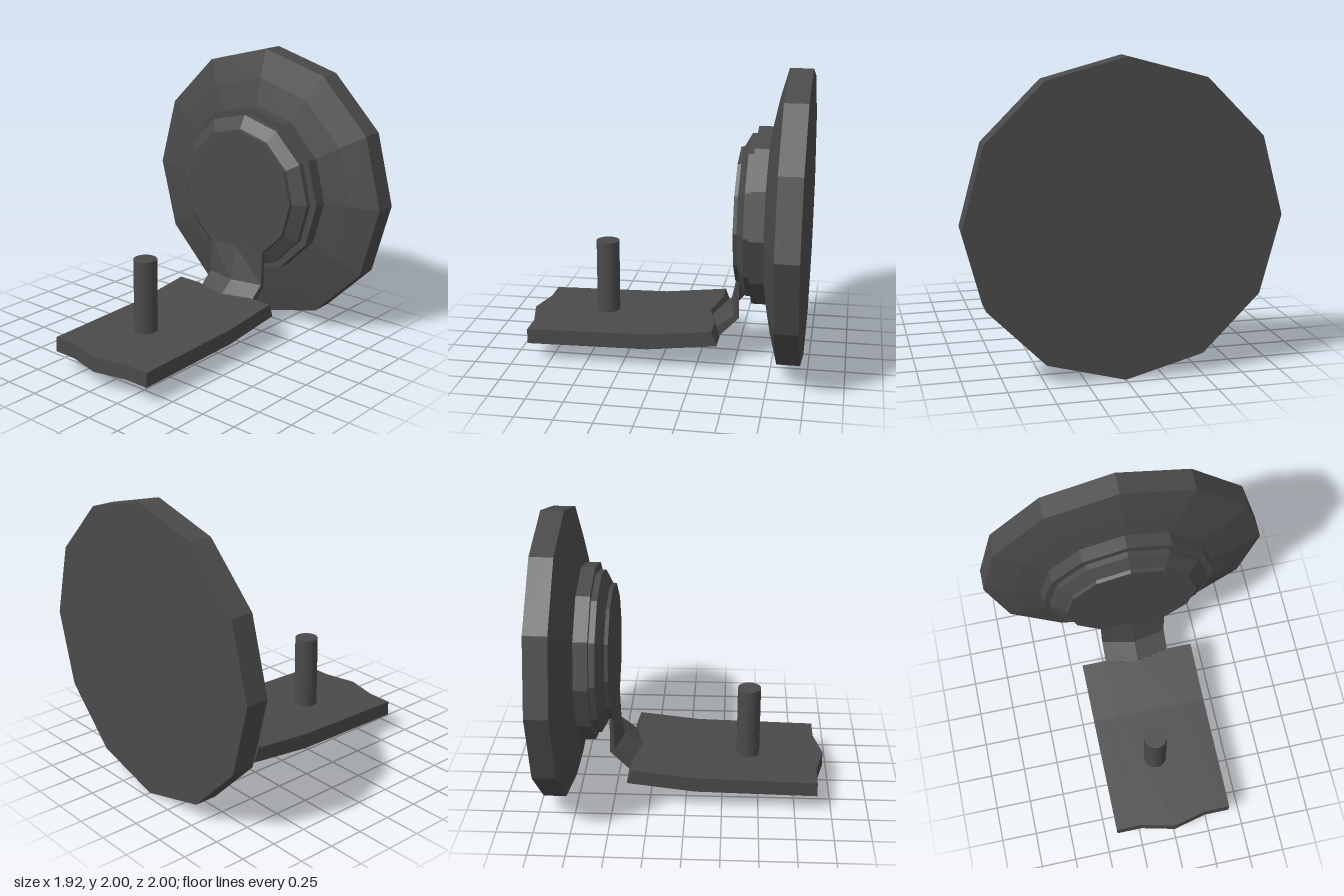
import * as THREE from 'three';

// Give every face its own normal
function faceted(geometry) {
  const g = geometry.index ? geometry.toNonIndexed() : geometry;
  g.computeVertexNormals();
  return g;
}

// Loft a counter-clockwise (x, y) section through a list of z stations
function loft(stations, sectionAt) {
  const positions = [];
  const index = [];
  const sections = stations.map(sectionAt);
  const n = sections[0].length;
  sections.forEach((s, k) => s.forEach(([x, y]) => positions.push(x, y, stations[k])));
  for (let k = 0; k < stations.length - 1; k++) {
    for (let i = 0; i < n; i++) {
      const a = k * n + i;
      const b = k * n + ((i + 1) % n);
      index.push(a, b, b + n, a, b + n, a + n);
    }
  }
  // End caps
  const outline = sections[0].map(([x, y]) => new THREE.Vector2(x, y));
  const last = (stations.length - 1) * n;
  for (const [a, b, c] of THREE.ShapeUtils.triangulateShape(outline, [])) {
    index.push(a, c, b, last + a, last + b, last + c);
  }
  const g = new THREE.BufferGeometry();
  g.setAttribute('position', new THREE.Float32BufferAttribute(positions, 3));
  g.setIndex(index);
  return faceted(g);
}

export function createModel() {
  const group = new THREE.Group();
  const darkGrey = new THREE.MeshStandardMaterial({ color: 0x4a4a4a });
  darkGrey.name = 'darkGrey';

  const add = (name, geometry) => {
    const mesh = new THREE.Mesh(geometry, darkGrey);
    mesh.name = name;
    group.add(mesh);
    return mesh;
  };

  // Twelve-sided stepped disc, turned about the x axis: [radius, x]
  const profile = [
    [0, 0.5], [0.465, 0.5], [0.47, 0.525], [0.56, 0.575], [0.56, 0.615],
    [0.61, 0.615], [0.61, 0.71], [0.8, 0.75], [1, 0.805], [1, 0.96], [0, 0.96],
  ].map(([r, x]) => new THREE.Vector2(r, x));
  const disc = faceted(new THREE.LatheGeometry(profile, 12));
  disc.rotateZ(-Math.PI / 2);
  add('steppedDisc', disc).position.y = 1;

  // Both ends of the bracket point towards -x at the centre line
  const shift = (z) => (Math.abs(z) < 0.1 ? -0.057 : 0);

  // Gently bent base plate
  add('basePlate', loft([-0.415, -0.237, 0, 0.237, 0.415], (z) => {
    const d = shift(z);
    return [
      [-0.902 + d, 0.126], [-0.07, 0.14], [0.4 + d, 0.196 + d * 0.12],
      [0.365 + d, 0.295 + d * 0.12], [-0.07, 0.247], [-0.9 + d, 0.229],
    ];
  }));

  // Thin neck rising from the plate to the disc
  add('neck', loft([-0.235, 0, 0.235], (z) => {
    const d = shift(z);
    return [
      [0.398 + d, 0.2], [0.53 + d, 0.335], [0.525 + d * 0.1, 0.58],
      [0.503 + d * 0.1, 0.6], [0.495 + d * 0.85, 0.355], [0.378 + d, 0.258],
    ];
  }));

  // Upright round pin
  const pin = new THREE.CylinderGeometry(0.08, 0.08, 0.55, 32);
  add('pin', pin).position.set(-0.427, 0.475, -0.032);

  return group;
}
